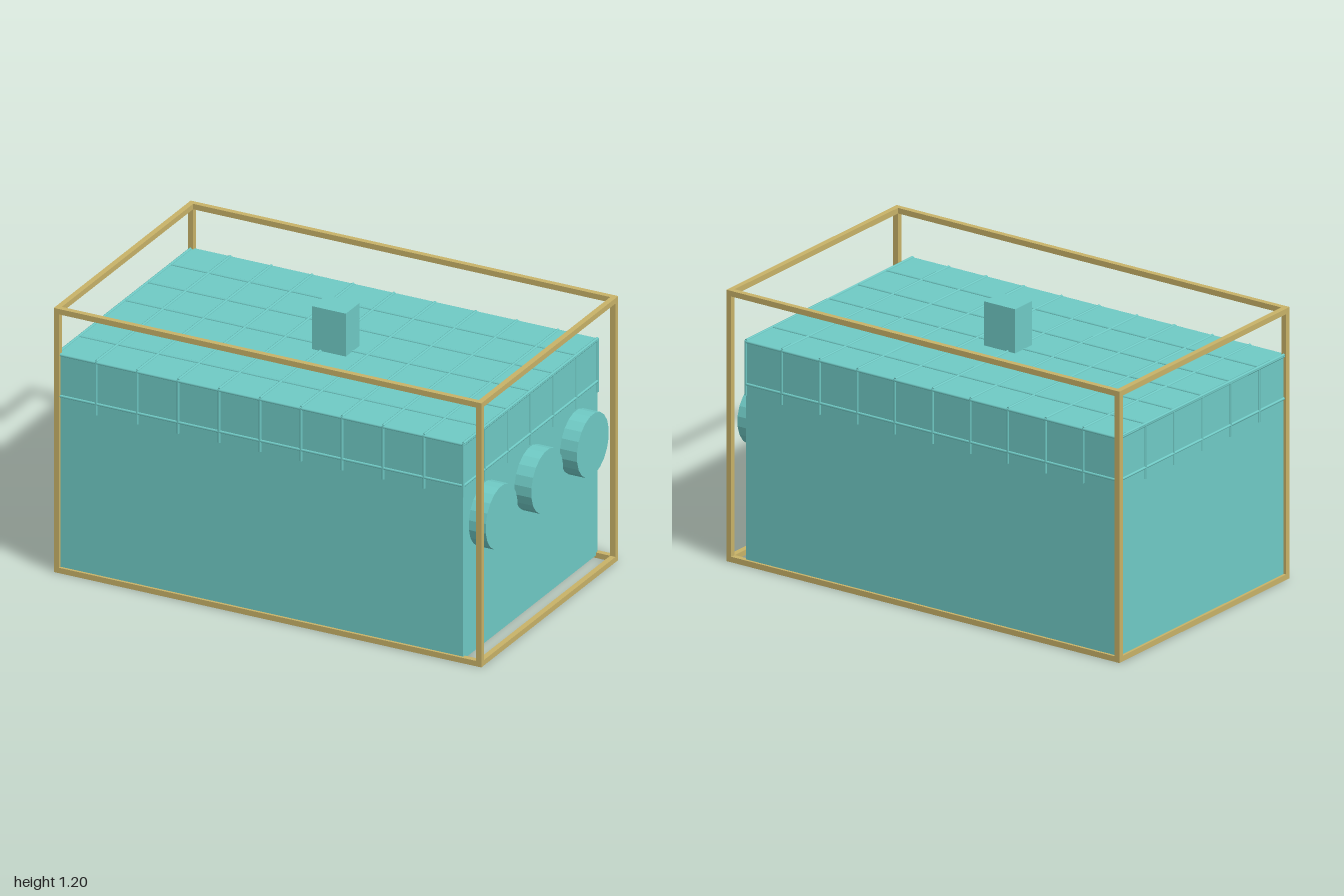
import * as THREE from 'three';

export function createModel() {
  const model = new THREE.Group();
  const teal = new THREE.MeshStandardMaterial({ color: 0x6fcac5 });
  teal.name = 'teal';
  const gold = new THREE.MeshStandardMaterial({ color: 0xc8b268 });
  gold.name = 'gold';

  // Box given by its lower and upper limits
  function box(parent, name, mat, x0, x1, y0, y1, z0, z1) {
    const mesh = new THREE.Mesh(new THREE.BoxGeometry(x1 - x0, y1 - y0, z1 - z0), mat);
    mesh.position.set((x0 + x1) / 2, (y0 + y1) / 2, (z0 + z1) / 2);
    mesh.name = name;
    parent.add(mesh);
  }

  // Main block and the post on top
  const L = -0.988, R = 0.909, Z = 0.588, TOP = 0.993;
  box(model, 'body', teal, L, R, 0.012, TOP, -Z, Z);
  box(model, 'post', teal, -0.08, 0.078, TOP, 1.188, -0.06, 0.06);

  // Outer frame: four bars along each axis
  const frame = new THREE.Group();
  frame.name = 'frame';
  const t = 0.0245;
  for (const a of [0, 1]) {
    for (const b of [0, 1]) {
      const y = a * (1.2 - t), z = b ? 0.6 - t : -0.6;
      const x = a ? 1 - t : -1;
      box(frame, 'lengthBar', gold, -1, 1, y, y + t, z, z + t);
      box(frame, 'uprightBar', gold, x, x + t, t, 1.2 - t, z, z + t);
      const y2 = b * (1.2 - t);
      box(frame, 'crossBar', gold, x, x + t, y2, y2 + t, -0.6 + t, 0.6 - t);
    }
  }
  model.add(frame);

  // Round discs on the right-hand end
  for (const z of [-0.4, 0, 0.4]) {
    const geo = new THREE.CylinderGeometry(0.14, 0.14, 0.988 - R, 20);
    geo.rotateY(Math.PI / 20);
    geo.rotateZ(-Math.PI / 2);
    const flat = geo.toNonIndexed();
    flat.computeVertexNormals();
    const disc = new THREE.Mesh(flat, teal);
    disc.position.set((0.988 + R) / 2, 0.602, z);
    disc.name = 'disc';
    model.add(disc);
  }

  // Net of thin ropes draped over the block
  const net = new THREE.Group();
  net.name = 'net';
  const up = new THREE.Vector3(0, 1, 0);
  function rope(a, b) {
    const p = new THREE.Vector3(...a), q = new THREE.Vector3(...b);
    const d = q.clone().sub(p);
    const mesh = new THREE.Mesh(new THREE.CylinderGeometry(0.006, 0.006, d.length(), 8), teal);
    mesh.position.copy(p).add(q).multiplyScalar(0.5);
    mesh.quaternion.setFromUnitVectors(up, d.normalize());
    mesh.name = 'rope';
    net.add(mesh);
  }
  const HEM = 0.75;
  // Ropes across the width, hanging down front and back
  for (let i = 0; i < 10; i++) {
    const x = i < 9 ? -0.808 + i * 0.1917 : R;
    rope([x, TOP, -Z], [x, TOP, Z]);
    for (const z of [-Z, Z]) rope([x, HEM, z], [x, TOP, z]);
  }
  rope([L, TOP, -Z], [L, TOP, Z]);
  // Ropes along the length, hanging down both ends
  for (let i = -2; i <= 2; i++) {
    const z = i * 0.2;
    rope([L, TOP, z], [R, TOP, z]);
    for (const x of [L, R]) rope([x, HEM, z], [x, TOP, z]);
  }
  // Ropes running round the sides
  for (const y of [0.8, TOP - 0.006]) {
    for (const z of [-Z, Z]) rope([L, y, z], [R, y, z]);
    for (const x of [L, R]) rope([x, y, -Z], [x, y, Z]);
  }
  model.add(net);

  return model;
}
